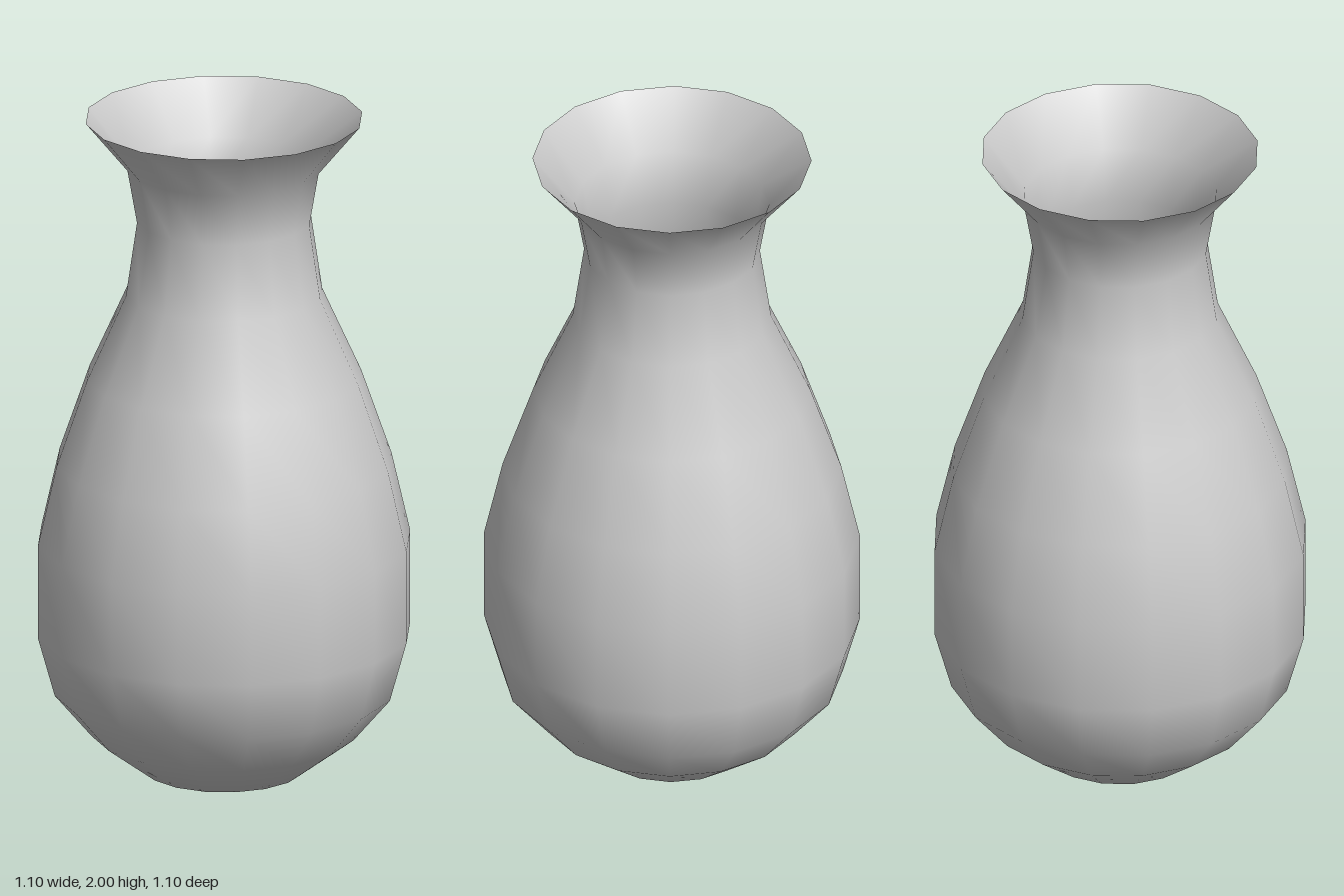
import * as THREE from 'three';

// Outer profile from the centre of the base up to the lip: [radius, height]
const PROFILE = [
  [0, 0], [0.235, 0.005], [0.39, 0.12], [0.5, 0.25], [0.55, 0.43], [0.55, 0.71],
  [0.495, 0.95], [0.405, 1.21], [0.29, 1.465], [0.257, 1.69], [0.285, 1.85], [0.408, 2],
];
const SIDES = 16;

export function createModel() {
  const group = new THREE.Group();
  group.name = 'vase';

  // Thin open shell: closed base, round belly, narrow neck and flared lip
  const points = PROFILE.map(([r, y]) => new THREE.Vector2(r, y));
  const body = new THREE.Mesh(
    new THREE.LatheGeometry(points, SIDES),
    new THREE.MeshStandardMaterial({ color: 0xcccccc, side: THREE.DoubleSide }),
  );
  body.name = 'vaseBody';
  group.add(body);

  return group;
}
